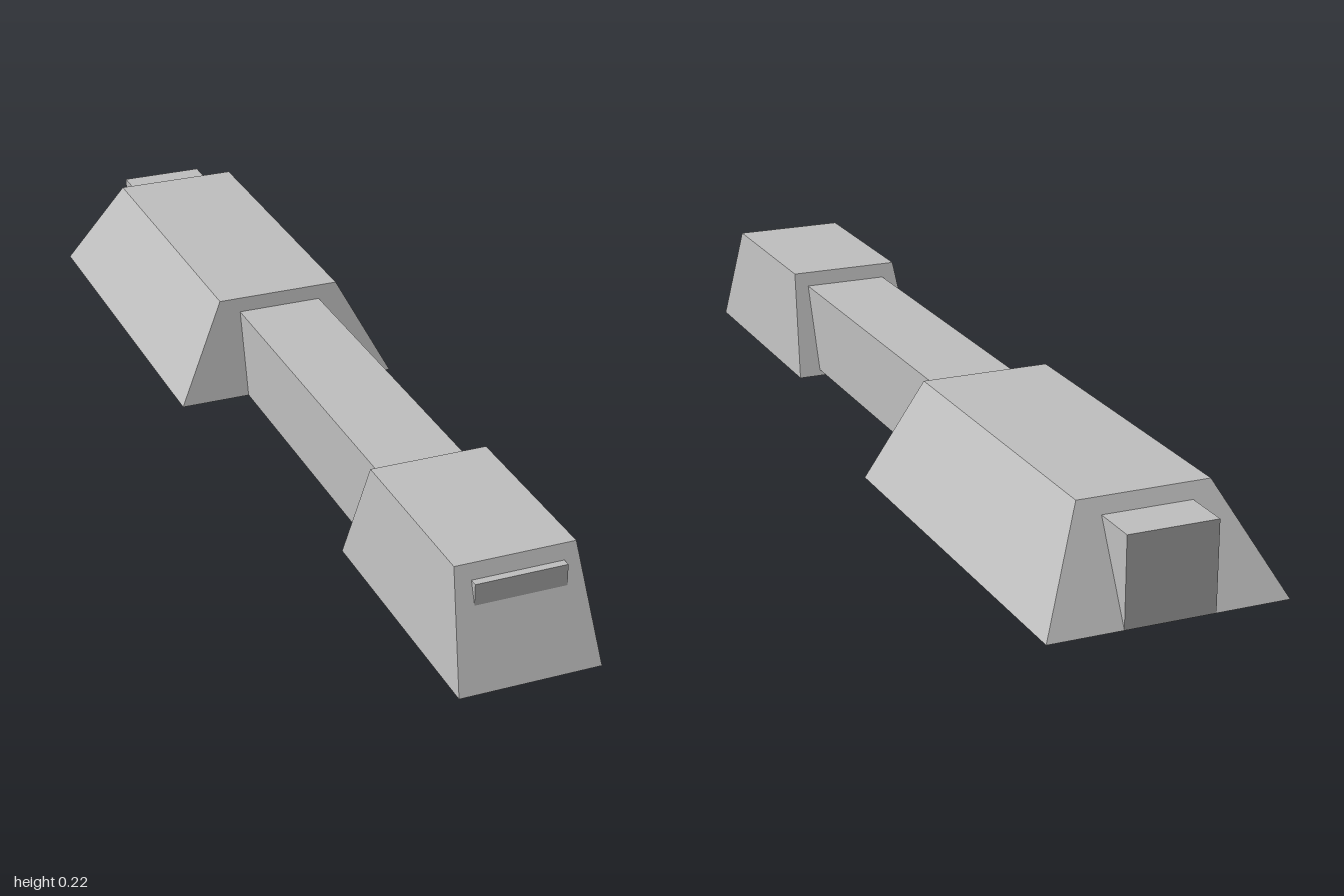
import * as THREE from 'three';

// Box whose upper corners are drawn in: base and top are [halfWidth, zBack, zFront]
function taperedBlock(base, top, y0, y1) {
  const box = new THREE.BoxGeometry(2, 1, 1);
  const p = box.attributes.position;
  for (let i = 0; i < p.count; i++) {
    const up = p.getY(i) > 0;
    const [halfWidth, zBack, zFront] = up ? top : base;
    p.setXYZ(i, p.getX(i) * halfWidth, up ? y1 : y0, p.getZ(i) > 0 ? zFront : zBack);
  }
  box.computeVertexNormals();
  return box;
}

export function createModel() {
  const group = new THREE.Group();
  const grey = new THREE.MeshStandardMaterial({ color: 0xc0c0c0, flatShading: true });
  grey.name = 'light grey';

  const add = (name, geometry, x = 0) => {
    const mesh = new THREE.Mesh(geometry, grey);
    mesh.name = name;
    mesh.position.x = x;
    group.add(mesh);
  };

  // Narrow block at the front, wide block at the back
  add('frontBlock', taperedBlock([0.138, 0.473, 1], [0.117, 0.555, 0.92], 0, 0.216), -0.001);
  add('rearBlock', taperedBlock([0.236, -0.17, -1].map((v, i, a) => [a[0], a[2], a[1]][i]),
    [0.131, -0.89, -0.222], 0.012, 0.216));

  // Straight bar running through both blocks, showing at either end
  add('connectingBar', taperedBlock([0.089, -1, 0.946], [0.089, -1, 0.946], 0.012, 0.188));

  return group;
}
